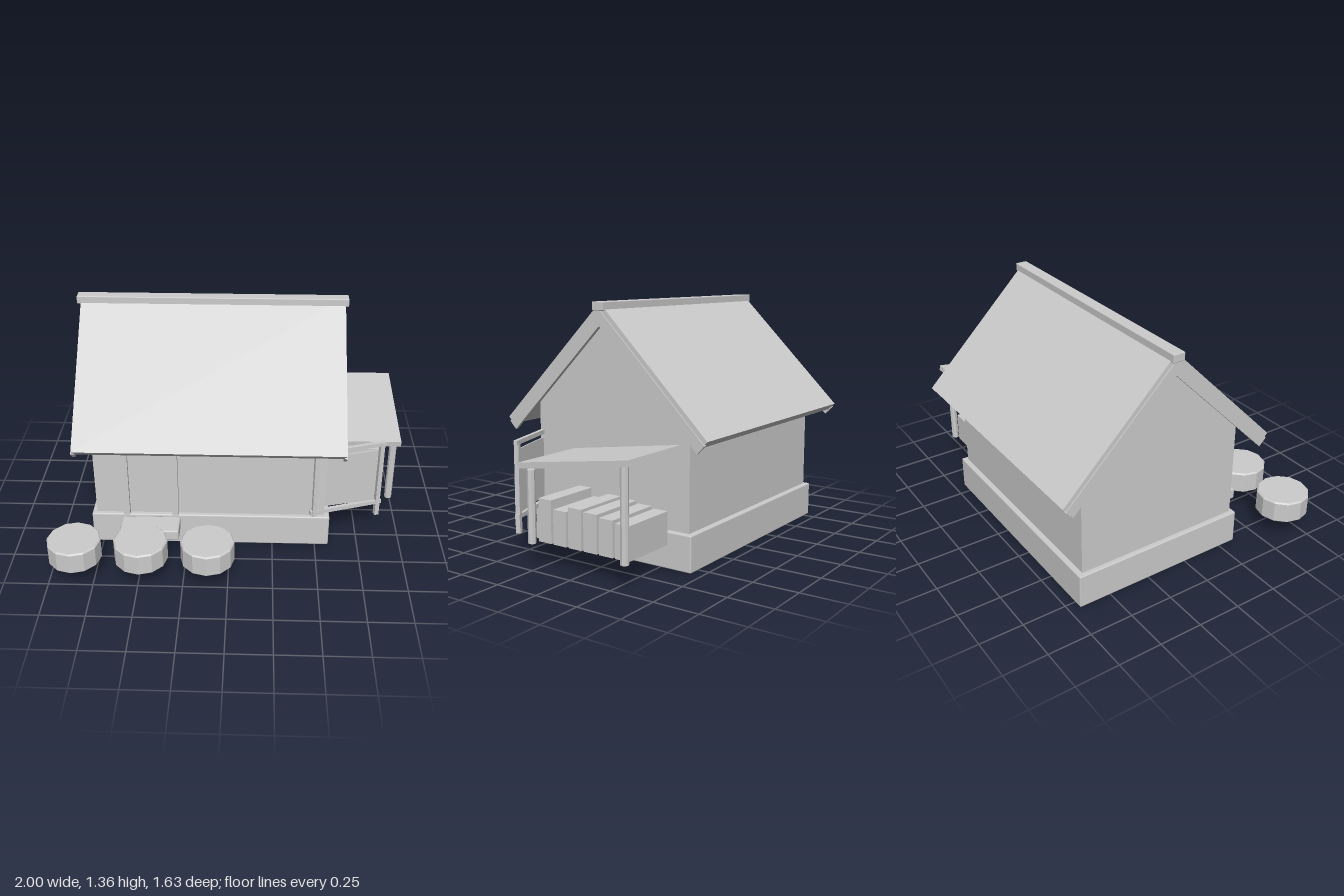
import * as THREE from 'three';
import { RoundedBoxGeometry } from 'three/addons/geometries/RoundedBoxGeometry.js';

const RIDGE_Z = -0.165;
const GROUND = 0.13;

export function createModel() {
  const model = new THREE.Group();
  model.name = 'cottage';
  const grey = new THREE.MeshStandardMaterial({ color: 0xcccccc });
  grey.name = 'light grey';

  const add = (name, geo, parent = model) => {
    const mesh = new THREE.Mesh(geo, grey);
    mesh.name = name;
    parent.add(mesh);
    return mesh;
  };
  // Box given by its extents on each axis, optionally with softened edges
  const box = (name, [x0, x1], [y0, y1], [z0, z1], bevel = 0, parent = model) => {
    const size = [x1 - x0, y1 - y0, z1 - z0];
    const geo = bevel ? new RoundedBoxGeometry(...size, 1, bevel) : new THREE.BoxGeometry(...size);
    const mesh = add(name, geo, parent);
    mesh.position.set((x0 + x1) / 2, (y0 + y1) / 2, (z0 + z1) / 2);
    return mesh;
  };
  // Outline in (distance from ridge, height), extruded along x
  const alongX = (name, points, x0, x1) => {
    const shape = new THREE.Shape(points.map(([d, y]) => new THREE.Vector2(d, y)));
    const geo = new THREE.ExtrudeGeometry(shape, { depth: x1 - x0, bevelEnabled: false });
    geo.rotateY(Math.PI / 2);
    geo.translate(x0, 0, RIDGE_Z);
    return add(name, geo);
  };
  // Upside-down V with square-cut eaves at 45 degrees
  const chevron = (apex, half, drop) => [
    [0, apex], [half, apex - half], [half - drop / 2, apex - half - drop / 2], [0, apex - drop],
    [-half + drop / 2, apex - half - drop / 2], [-half, apex - half],
  ];

  // House body
  box('foundation', [-0.805, 0.58], [0, 0.198], [-0.69, 0.355], 0.008);
  box('walls', [-0.778, 0.55], [0.195, 0.795], [-0.66, 0.33]);
  alongX('gable', [[-0.495, 0.795], [0.495, 0.795], [0, 1.285]], -0.778, 0.55);

  // Roof with bargeboards and ridge cap
  alongX('roof', chevron(1.353, 0.65, 0.07), -0.863, 0.639);
  for (const [x0, x1] of [[-0.868, -0.85], [0.628, 0.645]]) {
    alongX('bargeboard', chevron(1.318, 0.637, 0.085), x0, x1);
  }
  box('ridgeCap', [-0.885, 0.66], [1.312, 1.358], [-0.2, -0.13], 0.005);

  // Doorway and step
  for (const x of [-0.598, -0.315]) {
    box('doorPost', [x - 0.018, x + 0.018], [0.197, 0.7], [0.32, 0.358]);
  }
  box('doorLintel', [-0.58, -0.333], [0.665, 0.7], [0.32, 0.355]);
  box('door', [-0.58, -0.333], [0.22, 0.665], [0.325, 0.336]);
  box('doorStep', [-0.622, -0.286], [GROUND, 0.196], [0.367, 0.508], 0.008);

  // Round chopping blocks with twelve sides and a bevelled rim
  const profile = [[0, 0], [0.142, 0], [0.15, 0.008], [0.15, 0.122], [0.142, 0.13], [0, 0.13]]
    .map(([r, y]) => new THREE.Vector2(r, y));
  for (const x of [-0.852, -0.483, -0.113]) {
    const geo = new THREE.LatheGeometry(profile, 12).toNonIndexed();
    geo.computeVertexNormals();
    add('roundBlock', geo).position.set(x, GROUND, 0.667);
  }

  // Stretching frame, swung out from the front corner
  const frame = new THREE.Group();
  frame.name = 'stretchingFrame';
  frame.position.set(0.676, 0, 0.274);
  frame.rotation.y = Math.atan(0.32);
  model.add(frame);
  for (const x of [-0.195, 0.2]) {
    box('framePost', [x - 0.013, x + 0.013], [GROUND, 0.632], [-0.013, 0.013], 0, frame);
  }
  for (const y of [0.222, 0.623]) {
    box('frameRail', [-0.222, 0.222], [y - 0.012, y + 0.012], [-0.011, 0.011], 0, frame);
  }
  const hide = new THREE.Shape([[-0.14, 0.255], [0.18, 0.238], [0.17, 0.4], [0.178, 0.585], [-0.14, 0.59]]
    .map(([x, y]) => new THREE.Vector2(x, y)));
  add('framePanel', new THREE.ExtrudeGeometry(hide, { depth: 0.008, bevelEnabled: false }), frame)
    .position.z = -0.004;

  // Lean-to shelter
  const leanTo = new THREE.Shape([[-0.081, 0.523], [0.61, 0.62], [0.605, 0.651], [-0.085, 0.554]]
    .map(([z, y]) => new THREE.Vector2(z, y)));
  const leanGeo = new THREE.ExtrudeGeometry(leanTo, { depth: 0.45, bevelEnabled: false });
  leanGeo.rotateY(Math.PI / 2);
  leanGeo.translate(0.548, 0, 0);
  add('leanToRoof', leanGeo);
  for (const [z, top] of [[0.033, 0.518], [-0.558, 0.612]]) {
    const geo = new THREE.CylinderGeometry(0.022, 0.022, top - GROUND, 8).toNonIndexed();
    geo.computeVertexNormals();
    add('leanToPost', geo).position.set(0.96, (top + GROUND) / 2, z);
  }

  // Stacked firewood of uneven height
  [0.36, 0.315, 0.342, 0.333, 0.32, 0.308].forEach((top, i) => {
    const z = -0.017 - i * 0.0985;
    box('firewoodStack', [0.585, 0.917], [GROUND, top], [z - 0.042, z + 0.042]);
  });

  // Chevrons and gables were extruded with z mirrored about the ridge, which is symmetric
  leanGeo.computeVertexNormals();
  return model;
}
